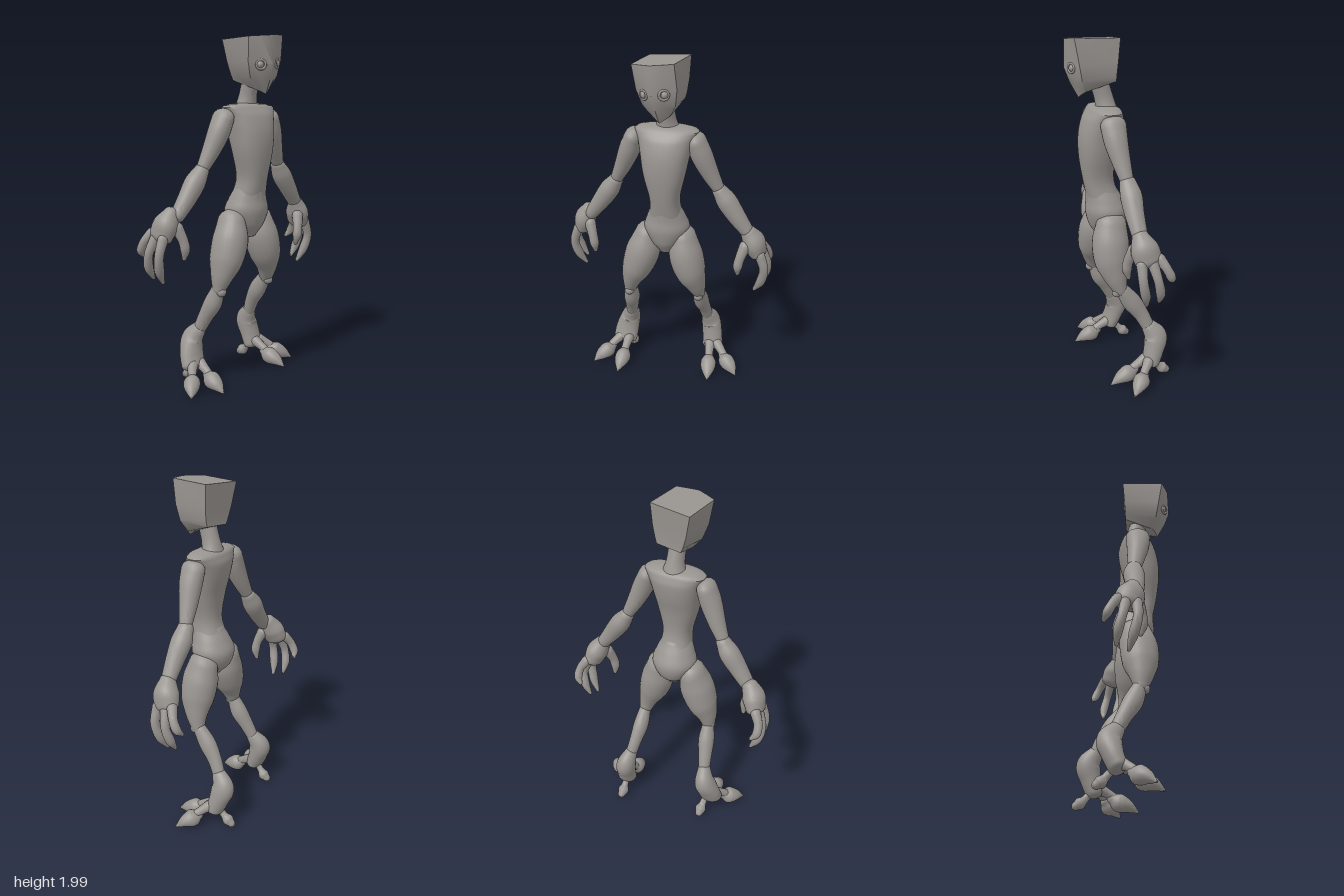
import * as THREE from 'three';
import { toCreasedNormals } from 'three/addons/utils/BufferGeometryUtils.js';

const clay = new THREE.MeshStandardMaterial({ color: 0x999591 });
clay.name = 'clay grey';
const V = (x, y, z) => new THREE.Vector3(x, y, z);

function add(parent, name, geometry) {
  const mesh = new THREE.Mesh(geometry, clay);
  mesh.name = name;
  parent.add(mesh);
  return mesh;
}

// Skin a stack of closed rings and close both ends with a fan
function skin(rings, crease) {
  const n = rings[0].length, pos = [], idx = [];
  rings.forEach(r => r.forEach(p => pos.push(p.x, p.y, p.z)));
  for (let i = 0; i < rings.length - 1; i++)
    for (let j = 0; j < n; j++) {
      const a = i * n + j, b = i * n + (j + 1) % n;
      idx.push(a, b, a + n, b, b + n, a + n);
    }
  [0, rings.length - 1].forEach((i, end) => {
    const c = rings[i].reduce((s, p) => s.add(p), V(0, 0, 0)).divideScalar(n);
    const k = pos.push(c.x, c.y, c.z) / 3 - 1;
    for (let j = 0; j < n; j++) {
      const a = i * n + j, b = i * n + (j + 1) % n;
      end ? idx.push(a, b, k) : idx.push(b, a, k);
    }
  });
  const g = new THREE.BufferGeometry();
  g.setAttribute('position', new THREE.Float32BufferAttribute(pos, 3));
  g.setIndex(idx);
  return toCreasedNormals(g, crease);
}

// Organic form along a path; each point is [x, y, z, half width, half depth]
function form(points, { flat = false, cap = 1, power = 1, sides = 24, steps = 6 } = {}) {
  const path = new THREE.CatmullRomCurve3(points.map(p => V(p[0], p[1], p[2])));
  const size = new THREE.CatmullRomCurve3(points.map(p => V(p[3], p[4] ?? p[3], 0)), false, 'catmullrom');
  const rings = [], count = (points.length - 1) * steps;
  const ring = (t, scale, push) => {
    const c = path.getPoint(t), s = size.getPoint(t);
    const T = flat ? V(0, 1, 0) : path.getTangent(t);
    const u = V(1, 0, 0).addScaledVector(T, -T.x).normalize();
    const v = T.clone().cross(u);
    c.addScaledVector(T, push * Math.min(s.x, s.y) * cap);
    rings.push(Array.from({ length: sides }, (_, j) => {
      const a = j / sides * Math.PI * 2, co = Math.cos(a), si = Math.sin(a);
      return c.clone()
        .addScaledVector(u, Math.sign(co) * Math.abs(co) ** power * s.x * scale)
        .addScaledVector(v, Math.sign(si) * Math.abs(si) ** power * s.y * scale);
    }));
  };
  const angles = [1.5, 1.2, 0.8, 0.4];
  angles.forEach(a => ring(0, Math.cos(a), -Math.sin(a)));
  for (let i = 0; i <= count; i++) ring(i / count, 1, 0);
  angles.reverse().forEach(a => ring(1, Math.cos(a), Math.sin(a)));
  return skin(rings, 0.9);
}

function ball(parent, name, r, x, y, z) {
  add(parent, name, new THREE.SphereGeometry(r, 20, 14)).position.set(x, y, z);
}

// Wedge shaped head with a pointed face
function buildHead() {
  const head = new THREE.Group();
  head.name = 'head';
  // front side x, y, z; front middle y, z; back x, y, z; cheek bulge
  const rings = [
    [0.05, 1.70, 0.17, 1.67, 0.2, 0.075, 1.755, 0.002, 0.004],
    [0.093, 1.76, 0.19, 1.755, 0.247, 0.087, 1.785, 0.002, 0.008],
    [0.115, 1.85, 0.207, 1.83, 0.275, 0.104, 1.86, -0.004, 0.006],
    [0.118, 1.985, 0.23, 1.985, 0.27, 0.12, 1.985, -0.014, 0.002],
  ].map(([fx, fy, fz, my, mz, bx, by, bz, bulge]) => {
    const cheek = s => V(s * fx * 0.5, (fy + my) / 2, (fz + mz) / 2 + bulge);
    return [V(fx, fy, fz), V(bx, by, bz), V(-bx, by, bz), V(-fx, fy, fz), cheek(-1), V(0, my, mz), cheek(1)]
      .map(p => p.sub(V(0, 1.85, 0.1)));
  });
  add(head, 'skull', skin(rings, 0.9));
  for (const s of [1, -1]) {
    ball(head, 'eye', 0.022, s * 0.056, -0.018, 0.134);
    const lid = add(head, 'eyelid', new THREE.TorusGeometry(0.025, 0.007, 8, 24));
    lid.position.set(s * 0.056, -0.018, 0.143);
    lid.rotation.y = s * 0.55;
  }
  head.position.set(0.008, 1.85, 0.1);
  head.rotation.set(0, -0.12, 0.08);
  return head;
}

// Arm with hand; s is +1 for the left, -1 for the right
function buildArm(s) {
  const arm = new THREE.Group();
  arm.name = s > 0 ? 'leftArm' : 'rightArm';
  const put = (name, pts, [dx, dy, dz], opt) =>
    add(arm, name, form(pts.map(([x, y, z, a, b]) => [s * (x + dx), y + dy, z + dz, a, b]), opt));
  const still = [0, 0, 0], shift = s > 0 ? still : [0.012, 0.022, -0.02];
  put('upperArm', [[0.177, 1.54, 0.055, 0.054, 0.072], [0.207, 1.46, 0.05, 0.06, 0.066],
    [0.25, 1.36, 0.035, 0.05, 0.052], [0.295, 1.27, 0.02, 0.036, 0.038]], still);
  put('forearm', [[0.305, 1.25, 0.015, 0.042, 0.047], [0.345, 1.19, 0.01, 0.058, 0.06],
    [0.40, 1.11, 0.01, 0.053, 0.053], [0.465, 1.02, 0.005, 0.04, 0.044]], still);
  put('palm', [[0.475, 1.01, 0.005, 0.046, 0.046], [0.508, 0.95, -0.008, 0.064, 0.076],
    [0.53, 0.89, -0.025, 0.054, 0.076]], shift, { cap: 0.7 });
  const fingers = {
    thumb: [[0.465, 0.93, 0.035, 0.034], [0.442, 0.86, 0.058, 0.028], [0.433, 0.81, 0.062, 0.027], [0.432, 0.76, 0.052, 0.012]],
    indexFinger: [[0.55, 0.88, 0.02, 0.03], [0.578, 0.79, 0.02, 0.026], [0.562, 0.7, 0, 0.027], [0.525, 0.63, -0.02, 0.011]],
    middleFinger: [[0.555, 0.88, -0.04, 0.03], [0.588, 0.79, -0.06, 0.025], [0.573, 0.71, -0.08, 0.026], [0.54, 0.65, -0.085, 0.011]],
    smallFinger: [[0.55, 0.9, -0.08, 0.03], [0.58, 0.85, -0.11, 0.025], [0.583, 0.8, -0.135, 0.025], [0.56, 0.77, -0.15, 0.012]],
  };
  for (const name in fingers) put(name, fingers[name], shift, { sides: 14 });
  return arm;
}

// One toe: a thin joint and a large claw resting on the ground
function addToe(leg, from, tip) {
  const at = (t, y, r, h) => [from[0] + (tip[0] - from[0]) * t, y, from[1] + (tip[1] - from[1]) * t, r, h];
  add(leg, 'toeJoint', form([at(-0.05, 0.13, 0.034), at(0.15, 0.11, 0.027), at(0.4, 0.08, 0.024)], { sides: 14 }));
  add(leg, 'claw', form([at(0.28, 0.08, 0.026, 0.03), at(0.46, 0.061, 0.047, 0.052),
    at(0.72, 0.042, 0.04, 0.037), at(0.99, 0.012, 0.007)], { sides: 18 }));
}

function buildLeg(name, d) {
  const leg = new THREE.Group();
  leg.name = name;
  add(leg, 'thigh', form(d.thigh));
  add(leg, 'shin', form(d.shin));
  ball(leg, 'kneecap', 0.029, ...d.knee);
  add(leg, 'foot', form(d.foot, { cap: 0.6 }));
  d.toes.forEach(([from, tip]) => addToe(leg, from, tip));
  add(leg, 'backToe', form(d.back, { sides: 14 }));
  return leg;
}

const leftLeg = {
  thigh: [[0.108, 0.95, 0.045, 0.075, 0.09], [0.125, 0.85, 0.055, 0.098, 0.108], [0.155, 0.74, 0.055, 0.09, 0.1],
    [0.185, 0.65, 0.04, 0.06, 0.068], [0.2, 0.58, 0.02, 0.038, 0.042]],
  shin: [[0.2, 0.57, 0.005, 0.036, 0.042], [0.2, 0.49, -0.05, 0.045, 0.055], [0.208, 0.41, -0.105, 0.038, 0.045],
    [0.222, 0.32, -0.15, 0.034, 0.038]],
  knee: [0.2, 0.565, 0.04],
  foot: [[0.222, 0.33, -0.15, 0.038, 0.045], [0.238, 0.26, -0.188, 0.058, 0.07], [0.252, 0.18, -0.172, 0.062, 0.06],
    [0.26, 0.11, -0.15, 0.064, 0.052]],
  toes: [[[0.25, -0.11], [0.28, 0.1]], [[0.3, -0.12], [0.44, 0.01]]],
  back: [[0.25, 0.11, -0.17, 0.02], [0.248, 0.07, -0.205, 0.022], [0.246, 0.048, -0.23, 0.034], [0.246, 0.032, -0.255, 0.024]],
};
const rightLeg = {
  thigh: [[-0.108, 0.95, 0.045, 0.075, 0.09], [-0.13, 0.85, 0.06, 0.1, 0.108], [-0.17, 0.73, 0.065, 0.09, 0.1],
    [-0.2, 0.65, 0.065, 0.062, 0.07], [-0.217, 0.58, 0.06, 0.038, 0.042]],
  shin: [[-0.217, 0.57, 0.05, 0.036, 0.042], [-0.224, 0.49, 0.015, 0.048, 0.055], [-0.238, 0.41, -0.03, 0.042, 0.045],
    [-0.253, 0.32, -0.075, 0.034, 0.038]],
  knee: [-0.217, 0.565, 0.08],
  foot: [[-0.253, 0.33, -0.073, 0.038, 0.045], [-0.275, 0.26, -0.112, 0.06, 0.068], [-0.293, 0.18, -0.095, 0.074, 0.058],
    [-0.302, 0.115, -0.07, 0.076, 0.052]],
  toes: [[[-0.272, -0.035], [-0.282, 0.165]], [[-0.33, -0.045], [-0.46, 0.1]]],
  back: [[-0.28, 0.11, -0.095, 0.02], [-0.275, 0.07, -0.13, 0.022], [-0.272, 0.048, -0.152, 0.034], [-0.272, 0.032, -0.175, 0.024]],
};

export function createModel() {
  const model = new THREE.Group();
  model.name = 'figure';
  model.add(buildHead());
  add(model, 'neck', form([[0.012, 1.58, 0.04, 0.08, 0.062], [0.011, 1.63, 0.05, 0.058, 0.056],
    [0.01, 1.68, 0.062, 0.049, 0.052], [0.008, 1.77, 0.09, 0.049, 0.052]]));
  // Broad flat shoulders narrowing to the waist
  add(model, 'torso', form([[0.01, 1.08, 0.06, 0.098, 0.095], [0.01, 1.2, 0.092, 0.084, 0.088],
    [0.008, 1.35, 0.097, 0.117, 0.103], [0.009, 1.46, 0.083, 0.137, 0.115], [0.011, 1.55, 0.066, 0.157, 0.108],
    [0.012, 1.597, 0.057, 0.18, 0.085]], { flat: true, cap: 0.32, power: 0.85, sides: 36 }));
  add(model, 'pelvis', form([[0.01, 0.875, 0.055, 0.045, 0.058], [0.01, 0.93, 0.045, 0.095, 0.103],
    [0.01, 1.01, 0.045, 0.132, 0.122], [0.01, 1.08, 0.057, 0.113, 0.106], [0.01, 1.14, 0.075, 0.088, 0.09]],
  { flat: true, cap: 0.5, sides: 36 }));
  model.add(buildArm(1), buildArm(-1));
  model.add(buildLeg('leftLeg', leftLeg), buildLeg('rightLeg', rightLeg));
  return model;
}
